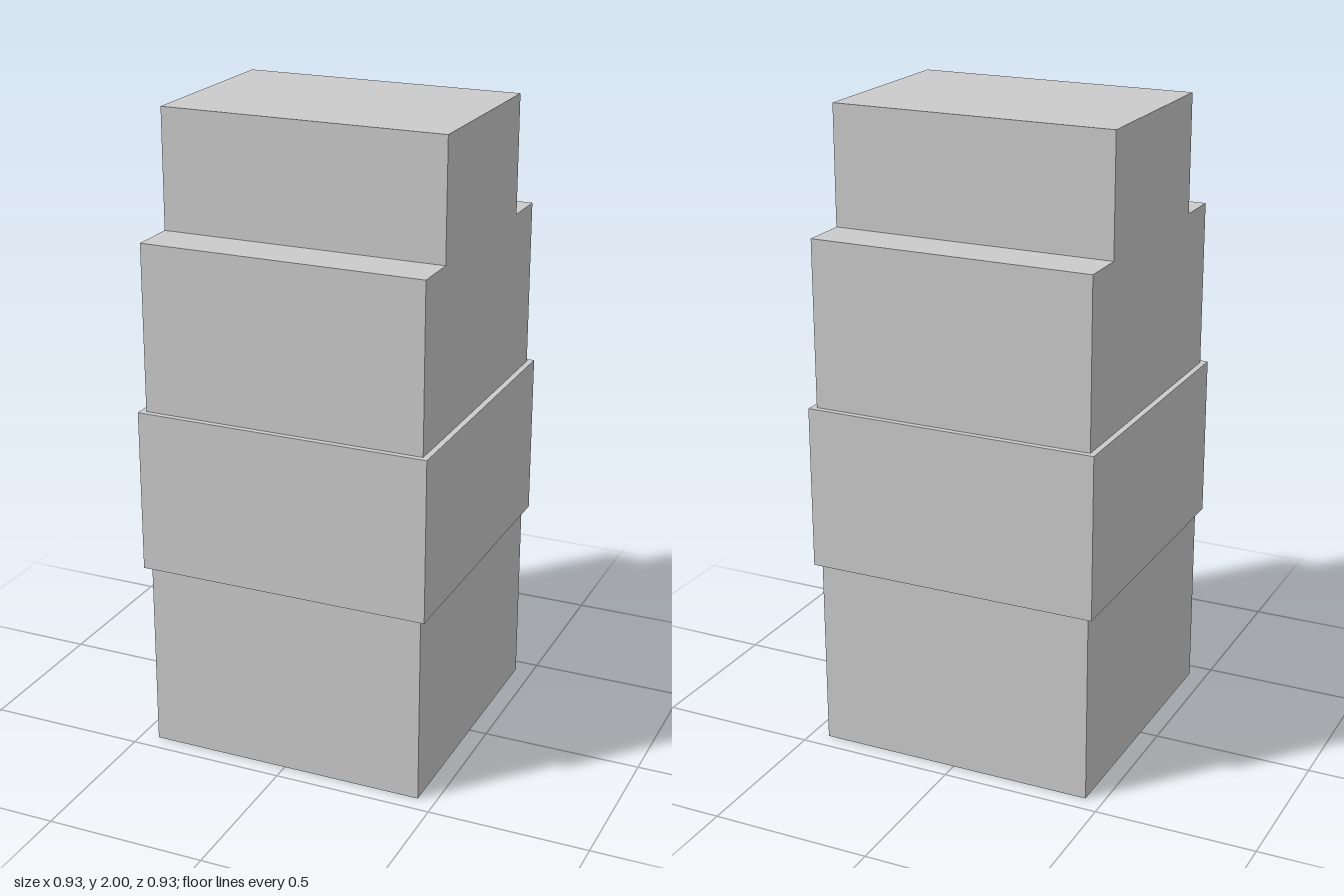
import * as THREE from 'three';

const material = new THREE.MeshStandardMaterial({ color: 0xcccccc, flatShading: true });

export function createModel() {
  const model = new THREE.Group();
  model.name = 'steppedBlock';

  // Body: stepped side profile (z, y) extruded across the width
  const half = 0.444, topHalf = 0.296, shoulder = 1.63, height = 2;
  const profile = new THREE.Shape([
    [-half, 0], [half, 0], [half, shoulder], [topHalf, shoulder],
    [topHalf, height], [-topHalf, height], [-topHalf, shoulder], [-half, shoulder],
  ].map(([z, y]) => new THREE.Vector2(z, y)));
  const bodyGeometry = new THREE.ExtrudeGeometry(profile, { depth: 2 * half, bevelEnabled: false });
  bodyGeometry.translate(0, 0, -half).rotateY(-Math.PI / 2);
  const body = new THREE.Mesh(bodyGeometry, material);
  body.name = 'body';

  // Band: slightly wider sleeve around the middle
  const bandBottom = 0.6, bandTop = 1.11, bandWidth = 0.925;
  const band = new THREE.Mesh(
    new THREE.BoxGeometry(bandWidth, bandTop - bandBottom, bandWidth), material);
  band.position.y = (bandBottom + bandTop) / 2;
  band.name = 'middleBand';

  model.add(body, band);
  return model;
}
